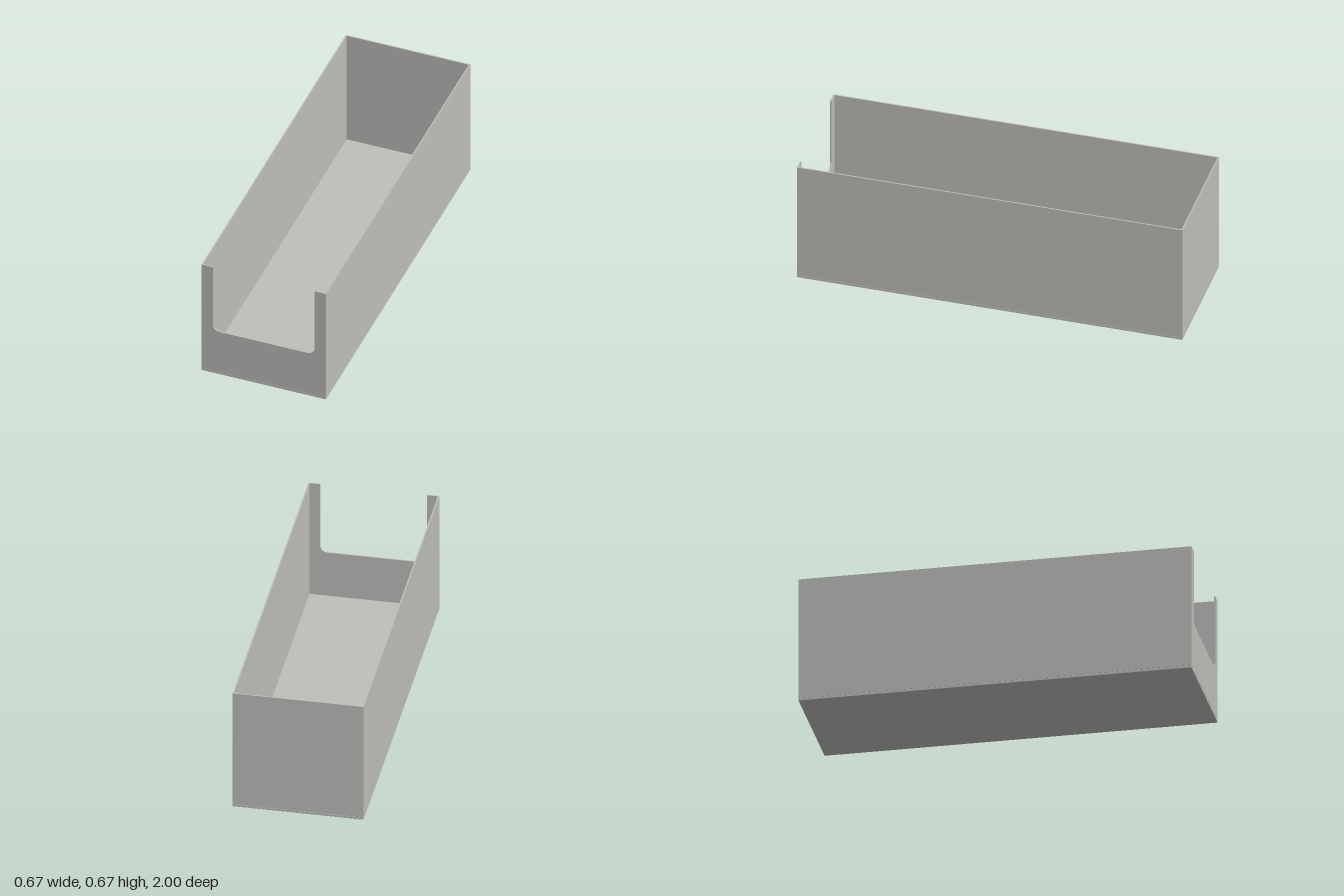
import * as THREE from 'three';
import { RoundedBoxGeometry } from 'three/addons/geometries/RoundedBoxGeometry.js';

const W = 0.666, H = 0.667, L = 2; // outer size
const T = 0.007, BASE = 0.0133;    // wall and base thickness

export function createModel() {
  const group = new THREE.Group();
  const grey = new THREE.MeshStandardMaterial({ color: 0xbebeba });
  grey.name = 'warm grey';

  const add = (name, geometry, x, y, z) => {
    const mesh = new THREE.Mesh(geometry, grey);
    mesh.name = name;
    mesh.position.set(x, y, z);
    group.add(mesh);
  };

  const wallH = H - BASE, wallY = BASE + wallH / 2;

  // Base plate with slightly eased edges
  add('base', new RoundedBoxGeometry(W, BASE, L, 1, 0.002), 0, BASE / 2, 0);

  // Side walls run from behind the front panel to the very back
  for (const [name, s] of [['leftWall', 1], ['rightWall', -1]]) {
    add(name, new THREE.BoxGeometry(T, wallH, L - T), s * (W - T) / 2, wallY, -T / 2);
  }

  // Back wall fits between the side walls
  add('backWall', new THREE.BoxGeometry(W - 2 * T, wallH, T), 0, wallY, -(L - T) / 2);

  // Front panel with an open-topped, round-cornered access cutout
  const w = W / 2, c = 0.272, low = 0.267, r = 0.037;
  const shape = new THREE.Shape();
  shape.moveTo(-w, BASE);
  shape.lineTo(w, BASE);
  shape.lineTo(w, H);
  shape.lineTo(c, H);
  shape.lineTo(c, low + r);
  shape.absarc(c - r, low + r, r, 0, -Math.PI / 2, true);
  shape.lineTo(-c + r, low);
  shape.absarc(-c + r, low + r, r, -Math.PI / 2, -Math.PI, true);
  shape.lineTo(-c, H);
  shape.lineTo(-w, H);
  shape.closePath();
  const front = new THREE.ExtrudeGeometry(shape, { depth: T, bevelEnabled: false, curveSegments: 12 });
  add('frontPanel', front, 0, 0, L / 2 - T);

  return group;
}
